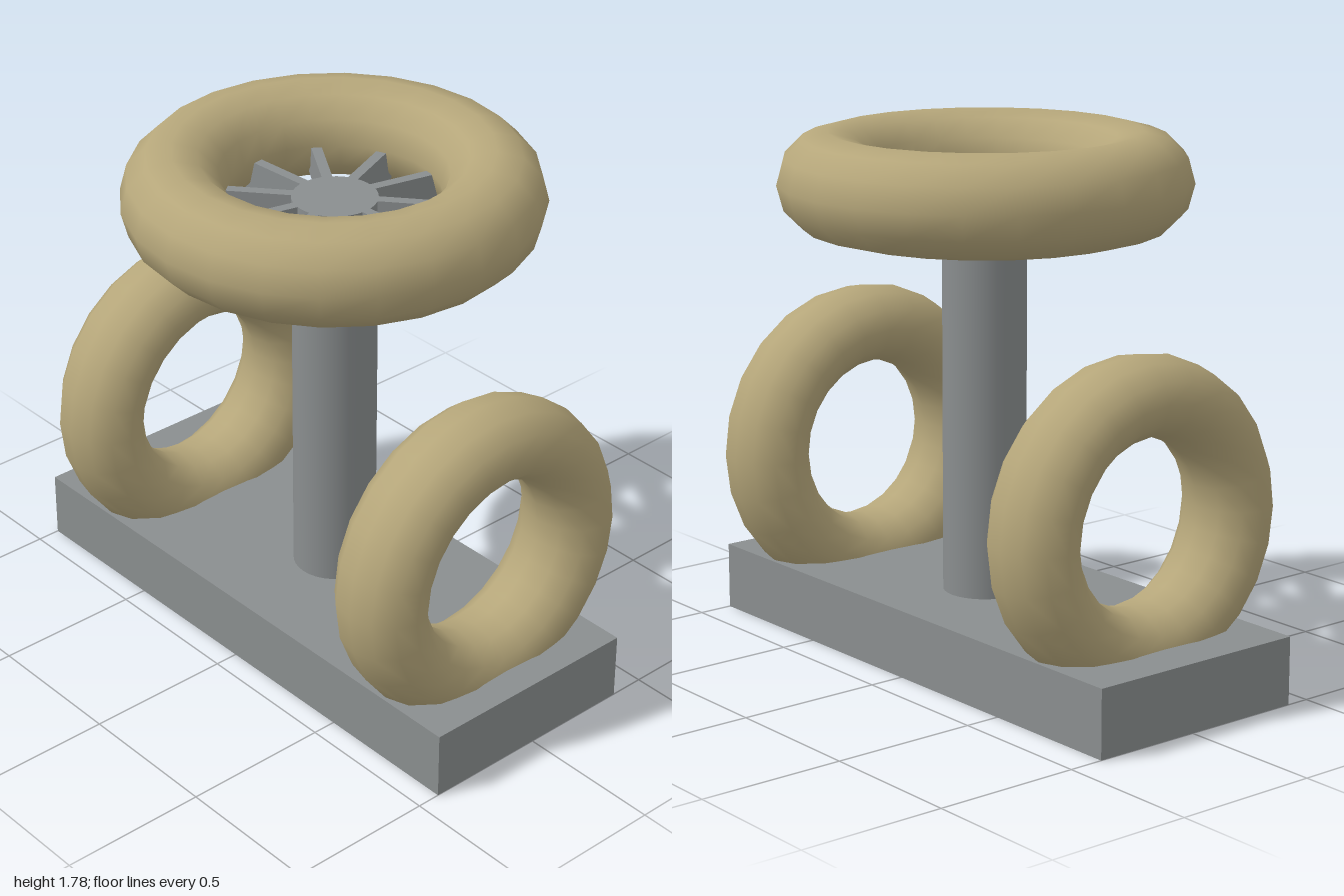
import * as THREE from 'three';

export function createModel() {
  const model = new THREE.Group();
  const grey = new THREE.MeshStandardMaterial({ color: 0x8a8e8f });
  grey.name = 'steel grey';
  const tan = new THREE.MeshStandardMaterial({ color: 0xb5a67a });
  tan.name = 'sand tan';

  const add = (name, geometry, material, x, y, z, parent = model) => {
    const mesh = new THREE.Mesh(geometry, material);
    mesh.name = name;
    mesh.position.set(x, y, z);
    parent.add(mesh);
    return mesh;
  };

  // Slab and central column
  add('base', new THREE.BoxGeometry(2, 0.23, 0.8), grey, 0, 0.115, 0.02);
  add('column', new THREE.CylinderGeometry(0.14, 0.14, 1.4, 32), grey, 0.03, 0.91, 0);

  // Thin upright fins joining the column to the top ring
  const fins = new THREE.Group();
  fins.name = 'fins';
  fins.position.set(0.025, 1.555, 0);
  model.add(fins);
  const finShape = new THREE.BoxGeometry(0.28, 0.11, 0.035).translate(0.25, 0, 0);
  for (let i = 0; i < 10; i++) {
    add('fin', finShape, grey, 0, 0, 0, fins).rotation.y = THREE.MathUtils.degToRad(4 + i * 36);
  }

  // Large ring lying flat on top
  const flatRing = new THREE.TorusGeometry(0.515, 0.168, 12, 24).rotateX(Math.PI / 2);
  add('topRing', flatRing, tan, 0.025, 1.615, 0);

  // Smaller upright rings sunk into the slab, with the same thickness as the top ring
  const sideRing = new THREE.TorusGeometry(0.515, 0.168, 12, 24)
    .scale(0.797, 0.797, 0.98)
    .rotateY(Math.PI / 2);
  add('leftRing', sideRing, tan, 0.735, 0.612, 0.02);
  add('rightRing', sideRing, tan, -0.688, 0.612, 0.02);

  return model;
}
